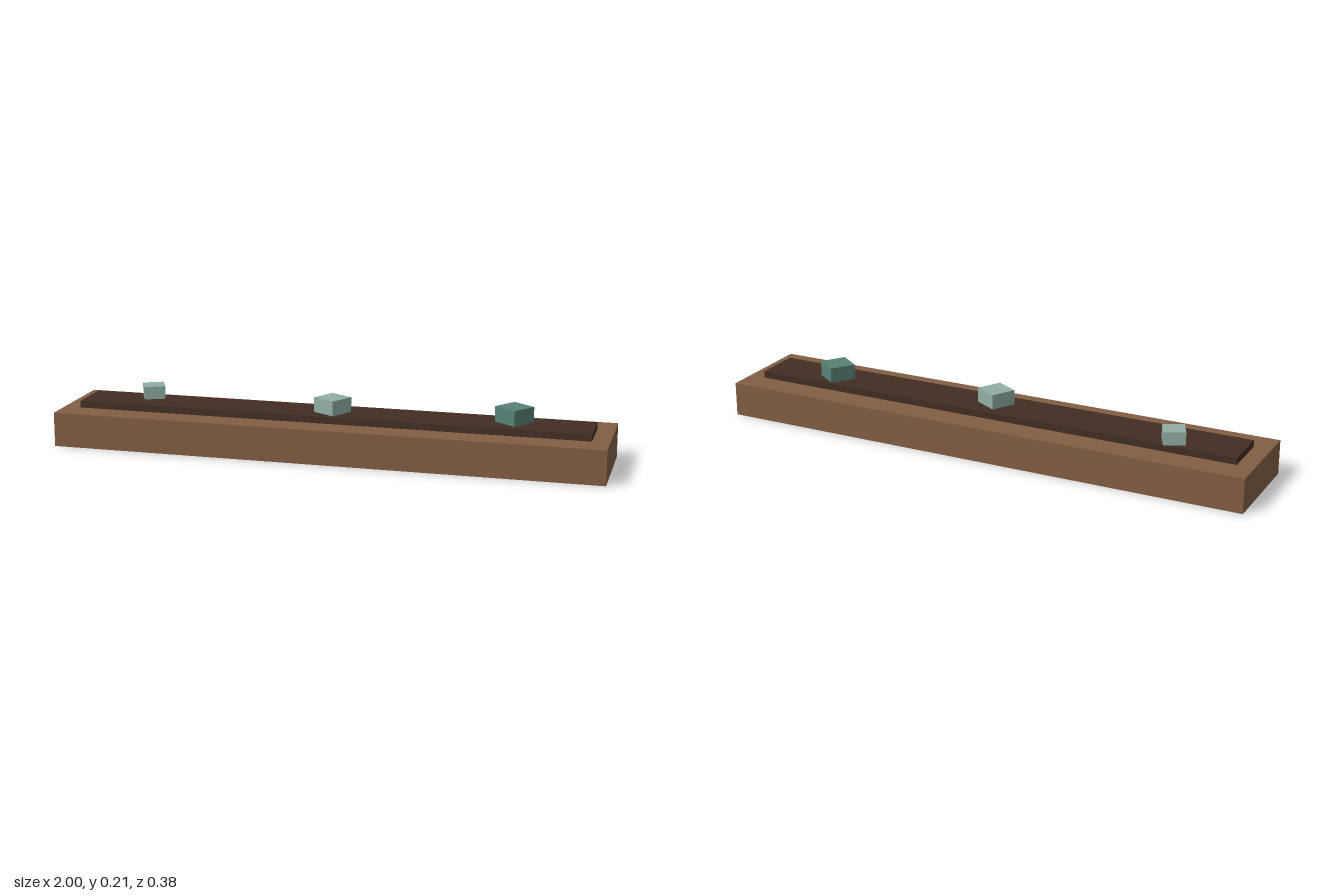
import * as THREE from 'three';

const material = (name, color, side = THREE.FrontSide) => {
  const m = new THREE.MeshStandardMaterial({ color, side });
  m.name = name;
  return m;
};

// Box without its underside, standing on y = 0
function openBox(width, height, depth) {
  const geometry = new THREE.BoxGeometry(width, height, depth).translate(0, height / 2, 0);
  const index = Array.from(geometry.index.array);
  index.splice(18, 6); // the -y face
  geometry.setIndex(index);
  geometry.clearGroups();
  return geometry;
}

export function createModel() {
  const model = new THREE.Group();
  model.name = 'planter';

  const wood = material('wood', 0x825e43, THREE.DoubleSide);
  const soil = material('soil', 0x432d23);
  const paleGreen = material('paleGreen', 0x91aea4);
  const teal = material('teal', 0x578177);

  const add = (name, size, mat, x, y, z, turn = 0) => {
    const mesh = new THREE.Mesh(openBox(...size), mat);
    mesh.name = name;
    mesh.position.set(x, y, z);
    mesh.rotation.y = THREE.MathUtils.degToRad(turn);
    model.add(mesh);
  };

  // Hollow trough, open below, with a raised soil bed
  add('trough', [2, 0.125, 0.375], wood, 0, 0, 0);
  add('soilBed', [1.875, 0.025, 0.175], soil, 0, 0.125, 0);

  // Three turned blocks: side, height, colour, x, z, turn
  const blocks = [
    ['rightBlock', 0.077, 0.047, paleGreen, -0.697, -0.044, 25],
    ['middleBlock', 0.094, 0.054, paleGreen, 0.003, 0.009, -30],
    ['leftBlock', 0.096, 0.056, teal, 0.655, -0.013, -36],
  ];
  for (const [name, side, height, mat, x, z, turn] of blocks) {
    add(name, [side, height, side], mat, x, 0.15, z, turn);
  }

  return model;
}
